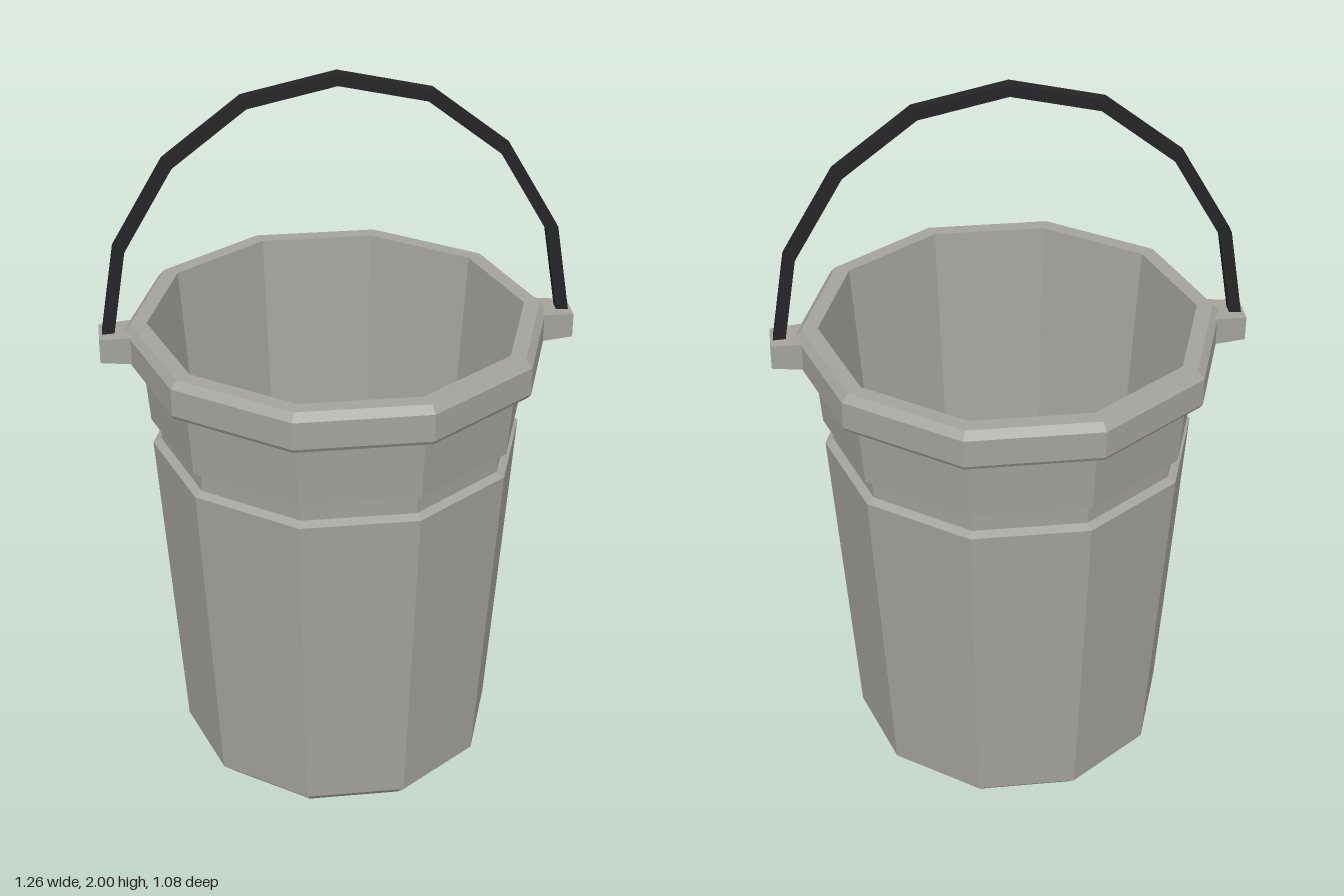
import * as THREE from 'three';

export function createModel() {
  const bucket = new THREE.Group();
  bucket.name = 'bucket';

  const shellGrey = new THREE.MeshStandardMaterial({ color: 0xa3a29c, flatShading: true });
  shellGrey.name = 'warm grey';
  const handleBlack = new THREE.MeshStandardMaterial({ color: 0x252527, flatShading: true });
  handleBlack.name = 'near black';

  const add = (name, geometry, material) => {
    const mesh = new THREE.Mesh(geometry, material);
    mesh.name = name;
    bucket.add(mesh);
    return mesh;
  };

  // Ten-sided shell: underside, outer wall with groove, rim, inner wall, floor
  const profile = [
    [0, 0.012], [0.3, 0.012], [0.4, 0], [0.44, 0.04], [0.503, 0.97],
    [0.48, 0.98], [0.482, 1.032], [0.505, 1.042], [0.52, 1.225],
    [0.558, 1.225], [0.566, 1.237], [0.566, 1.312], [0.547, 1.332],
    [0.504, 1.332], [0.4, 0.05], [0, 0.05],
  ].map(([r, y]) => new THREE.Vector2(r, y));
  add('shell', new THREE.LatheGeometry(profile, 10, Math.PI / 2), shellGrey);

  // Handle lugs: boxes that narrow towards their outer end
  for (const side of [1, -1]) {
    const lug = new THREE.BoxGeometry(0.11, 0.08, 0.112);
    const pos = lug.attributes.position;
    for (let i = 0; i < pos.count; i++) {
      if (pos.getX(i) * side > 0) {
        pos.setY(i, pos.getY(i) * 0.84);
        pos.setZ(i, pos.getZ(i) * 0.82);
      }
    }
    lug.computeVertexNormals();
    add(side > 0 ? 'leftLug' : 'rightLug', lug, shellGrey).position.set(side * 0.575, 1.279, 0);
  }

  // Handle: a square bar bent into straight segments
  const half = [[0.609, 1.29], [0.566, 1.55], [0.433, 1.778], [0.236, 1.931]];
  const path = [...half, [0, 1.983], ...half.map(([x, y]) => [-x, y]).reverse()]
    .map(([x, y]) => new THREE.Vector2(x, y));
  const thickness = 0.032;
  const offset = (distance) => path.map((p, i) => {
    const before = p.clone().sub(path[Math.max(i - 1, 0)]).normalize();
    const after = path[Math.min(i + 1, path.length - 1)].clone().sub(p).normalize();
    const tangent = before.add(after).normalize();
    return new THREE.Vector2(p.x + tangent.y * distance, p.y - tangent.x * distance);
  });
  const outline = [...offset(thickness / 2), ...offset(-thickness / 2).reverse()];
  const bar = new THREE.ExtrudeGeometry(new THREE.Shape(outline), { depth: thickness, bevelEnabled: false });
  bar.translate(0, 0, -thickness / 2);
  add('handle', bar, handleBlack);

  return bucket;
}
